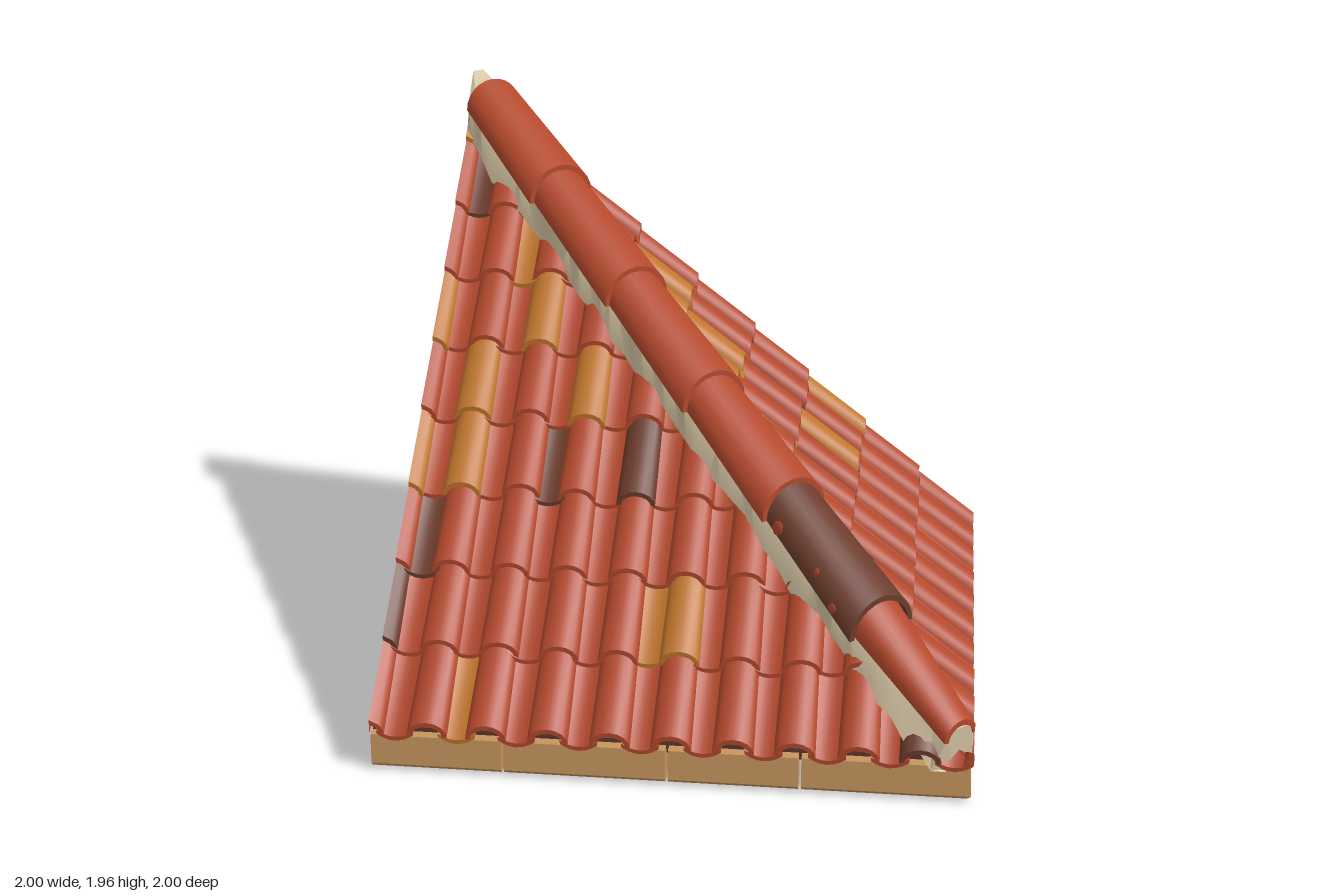
import * as THREE from 'three';
import { mergeGeometries, toCreasedNormals } from 'three/addons/utils/BufferGeometryUtils.js';

const PITCH = 0.868, EAVE = 0.135, ROW = 0.225, COL = 0.205;
const clamp = THREE.MathUtils.clamp;

const paint = (name, color) => {
  const m = new THREE.MeshStandardMaterial({ color });
  m.name = name;
  return m;
};

let seed = 7;
const rand = () => ((seed = (seed * 16807) % 2147483647) / 2147483647);

// Skin between closed rings (upper half left to right, lower half back), capped at both ends
function sweep(rings, flip = false) {
  const n = rings[0].length, pos = [];
  const tri = (a, b, c) => {
    const area = b.clone().sub(a).cross(c.clone().sub(a)).length();
    if (area < 1e-8) return;
    for (const p of flip ? [a, c, b] : [a, b, c]) pos.push(p.x, p.y, p.z);
  };
  const quad = (a, b, c, d) => { tri(a, b, c); tri(a, c, d); };
  for (let j = 0; j + 1 < rings.length; j++) {
    for (let i = 0; i < n; i++) {
      const k = (i + 1) % n;
      quad(rings[j][i], rings[j][k], rings[j + 1][k], rings[j + 1][i]);
    }
  }
  const lo = rings[0], hi = rings[rings.length - 1];
  for (let i = 0; i < n / 2 - 1; i++) {
    quad(lo[i], lo[n - 1 - i], lo[n - 2 - i], lo[i + 1]);
    quad(hi[i], hi[i + 1], hi[n - 2 - i], hi[n - 1 - i]);
  }
  const g = new THREE.BufferGeometry();
  g.setAttribute('position', new THREE.Float32BufferAttribute(pos, 3));
  return toCreasedNormals(g, 0.65);
}

// Point on a slope: a across, d up from the eave, h above the roof plane
function slopePoint(a, d, h, side) {
  const x = clamp(a, -1, 1), z = clamp(1 - d, -1, 1), y = EAVE + PITCH * (1 - z) + h;
  return side ? new THREE.Vector3(z, y, x) : new THREE.Vector3(x, y, z);
}

// Point at the hip: t along it, s sideways, u above it
function hipPoint(t, s, u) {
  const k = s * Math.SQRT1_2;
  return new THREE.Vector3(clamp(t + k, -1, 1), 1.045 - PITCH * t + u, clamp(t - k, -1, 1));
}

// Band section of a curved tile, outer arc then inner arc
function arcSection(halfWidth, height, thick, steps = 8) {
  const out = [], inn = [];
  for (let i = 0; i <= steps; i++) {
    const q = Math.PI * (1 - i / steps), c = Math.cos(q), s = Math.sin(q);
    out.push([halfWidth * c, height * s]);
    inn.unshift([(halfWidth - thick) * c, (height - thick) * s]);
  }
  return out.concat(inn);
}

// Shallow trough section
function panSection(halfWidth, depth, thick, steps = 6) {
  const top = [], low = [];
  for (let i = 0; i <= steps; i++) {
    const c = -1 + (2 * i) / steps, h = depth * c * c;
    top.push([halfWidth * c, h]);
    low.unshift([halfWidth * c, h - thick]);
  }
  return top.concat(low);
}

function fieldTile(section, a, row, lift, side) {
  const d0 = row * ROW + (row ? (rand() - 0.5) * 0.012 : 0), d1 = (row + 1) * ROW + 0.03;
  const shift = (rand() - 0.5) * 0.008;
  const ring = (end) => section.map(([w, h]) => {
    const across = a + shift + w * (end ? 0.93 : 1);
    const d = end ? Math.max(d0, Math.min(d1, 1 - across)) : d0;
    return slopePoint(across, d, h + lift - 0.028 * (d - d0) / (d1 - d0), side);
  });
  return sweep([ring(0), ring(1)], side);
}

// Box running up a slope and cut at the hip
function slopeBeam(a0, a1, d0, top, bottom, side) {
  const ring = (end) => [[a0, top], [a1, top], [a1, bottom], [a0, bottom]].map(
    ([a, h]) => slopePoint(a, end ? 1 - a : d0, h, side));
  return sweep([ring(0), ring(1)], side);
}

// Odd-coloured tiles per slope: row, cover or pan, column
const SPECIAL = [
  { ochre: '0p1 1p4 1c4 3c-1 3c0 4c0 4c2 5c-1 5c1 6p1 8c-1', umber: '0c8 1c-1 2p0 3p2 3c3 7p0' },
  { ochre: '5c0 2c-1 4c1 5c1 6c1 2c1 4c2 4p2 5p2 3p3', umber: '1p0 3p1 2p2 2p3 1p6 7c0' },
].map((o) => ({ ochre: o.ochre.split(' '), umber: o.umber.split(' ') }));

export function createModel() {
  const model = new THREE.Group();
  model.name = 'hipRoofCorner';
  const mats = {
    terracotta: paint('terracotta', 0xb2482c),
    ochre: paint('ochre clay', 0xbe742c),
    umber: paint('umber clay', 0x6b3b2c),
    brick: paint('eave brick', 0xc8955e),
    mortar: paint('mortar', 0xcdbc9c),
    deck: paint('dark boards', 0x62362e),
    beam: paint('beam wood', 0x56302a),
  };
  const add = (name, geo, mat, parent = model) => {
    const m = new THREE.Mesh(geo, mats[mat]);
    m.name = name;
    parent.add(m);
    return m;
  };

  const cover = arcSection(0.069, 0.052, 0.016), pan = panSection(0.062, 0.022, 0.014);
  ['front', 'right'].forEach((label, side) => {
    const slope = new THREE.Group();
    slope.name = label + 'Slope';
    model.add(slope);

    // Roof tiles, grouped by colour
    const tiles = { terracotta: [], ochre: [], umber: [] };
    for (let row = 0; row < 9; row++) {
      for (let k = -1; k <= 9; k++) {
        const a = -0.81 + COL * k;
        for (const [kind, section, at, lift] of [['c', cover, a, 0.002], ['p', pan, a - COL / 2, -0.004]]) {
          if (at < -1.05 || at - 0.06 > 1 - row * ROW) continue;
          const key = row + kind + k;
          const tone = ['ochre', 'umber'].find((c) => SPECIAL[side][c].includes(key)) || 'terracotta';
          tiles[tone].push(fieldTile(section, at, row, lift, side));
        }
      }
    }
    for (const tone in tiles) add(`${label}Tiles ${tone}`, mergeGeometries(tiles[tone]), tone, slope);

    // Boards and rafters underneath
    add(label + 'Deck', slopeBeam(-1, 0.95, 0.05, -0.035, -0.075, side), 'deck', slope);
    for (const a of [-0.78, 0]) {
      add(label + 'Rafter', slopeBeam(a - 0.025, a + 0.025, 0.08, -0.075, -0.125, side), 'beam', slope);
    }

    // Eave bricks, mitred at the corner
    const cuts = side ? [-1, -0.425, 0.16, 0.745, 0.99] : [-1, -0.555, -0.005, 0.435, 0.99];
    for (let i = 0; i < 4; i++) {
      const a0 = cuts[i] + (i ? 0.005 : 0), a1 = cuts[i + 1] - (i < 3 ? 0.005 : 0);
      const ring = (a) => [[0.925, 0.128], [0.988, 0.128], [0.995, 0.025], [0.98, 0.01], [0.94, 0.01], [0.925, 0.025]]
        .map(([z, y]) => {
          const x = i === 3 && a === a1 ? z : a;
          return side ? new THREE.Vector3(z, y, x) : new THREE.Vector3(x, y, z);
        });
      add(label + 'EaveBrick', sweep([ring(a0), ring(a1)], side), 'brick', slope);
    }
  });

  // Mortar bed under the hip tiles, with ragged edges
  const bed = [];
  for (let i = 0; i <= 44; i++) {
    const t = 0.95 - (1.95 * i) / 44, low = t > 0.63;
    const skirt = (sign) => {
      const s = (low ? 0.115 : 0.12) + rand() * 0.025;
      return hipPoint(t, sign * s, -0.035 - s * Math.SQRT1_2 * PITCH + rand() * 0.035);
    };
    const inner = low ? 0.09 - 0.1 * (t - 0.63) : 0.105;
    const crest = low ? 0.03 : 0.05;
    bed.push([skirt(-1), hipPoint(t, -inner, 0), hipPoint(t, -0.045, crest),
      hipPoint(t, 0.045, crest), hipPoint(t, inner, 0), skirt(1), hipPoint(t, 0.06, -0.11),
      hipPoint(t, 0.04, -0.1), hipPoint(t, 0.01, -0.1), hipPoint(t, -0.01, -0.1),
      hipPoint(t, -0.04, -0.1), hipPoint(t, -0.06, -0.11)]);
  }
  add('hipMortar', sweep(bed), 'mortar');

  // Overlapping hip tiles, wide at the lower end
  const ends = [0.955, 0.68, 0.36, 0.05, -0.27, -0.6, -0.915];
  for (let i = 0; i < 6; i++) {
    const r0 = i ? 0.142 : 0.075, r1 = i ? 0.12 : 0.115;
    const top = ends[i + 1] - (i < 5 ? 0.03 : 0);
    const ring = (t, r) => arcSection(r, r * 0.88, 0.02, 12).map(([s, u]) => hipPoint(t, s, u));
    add('hipTile', sweep([ring(ends[i], r0), ring(top, r1)]), i === 1 ? 'umber' : 'terracotta');
  }

  // Small clay chips on the dark hip tile
  for (const [t, angle, size] of [[0.4, 2.9, 0.026], [0.54, 2.65, 0.013], [0.61, 2.95, 0.018], [0.4, 0.25, 0.012], [0.55, 0.5, 0.012]]) {
    const r = 0.142 - 0.022 * (0.68 - t) / 0.35;
    const at = (q) => hipPoint(t, q * Math.cos(angle), 0.88 * q * Math.sin(angle));
    const chip = add('clayChip', new THREE.SphereGeometry(size, 10, 6).scale(1, 1, 0.25), 'terracotta');
    chip.position.copy(at(r));
    chip.lookAt(at(r + 0.1));
  }

  // Hip beam beneath the corner
  const beamRing = (t) => [[-0.04, -0.12], [0.04, -0.12], [0.04, -0.262], [-0.04, -0.262]].map(
    ([s, u]) => hipPoint(t, s, u));
  add('hipBeam', sweep([beamRing(0.9), beamRing(-0.97)]), 'beam');

  return model;
}
